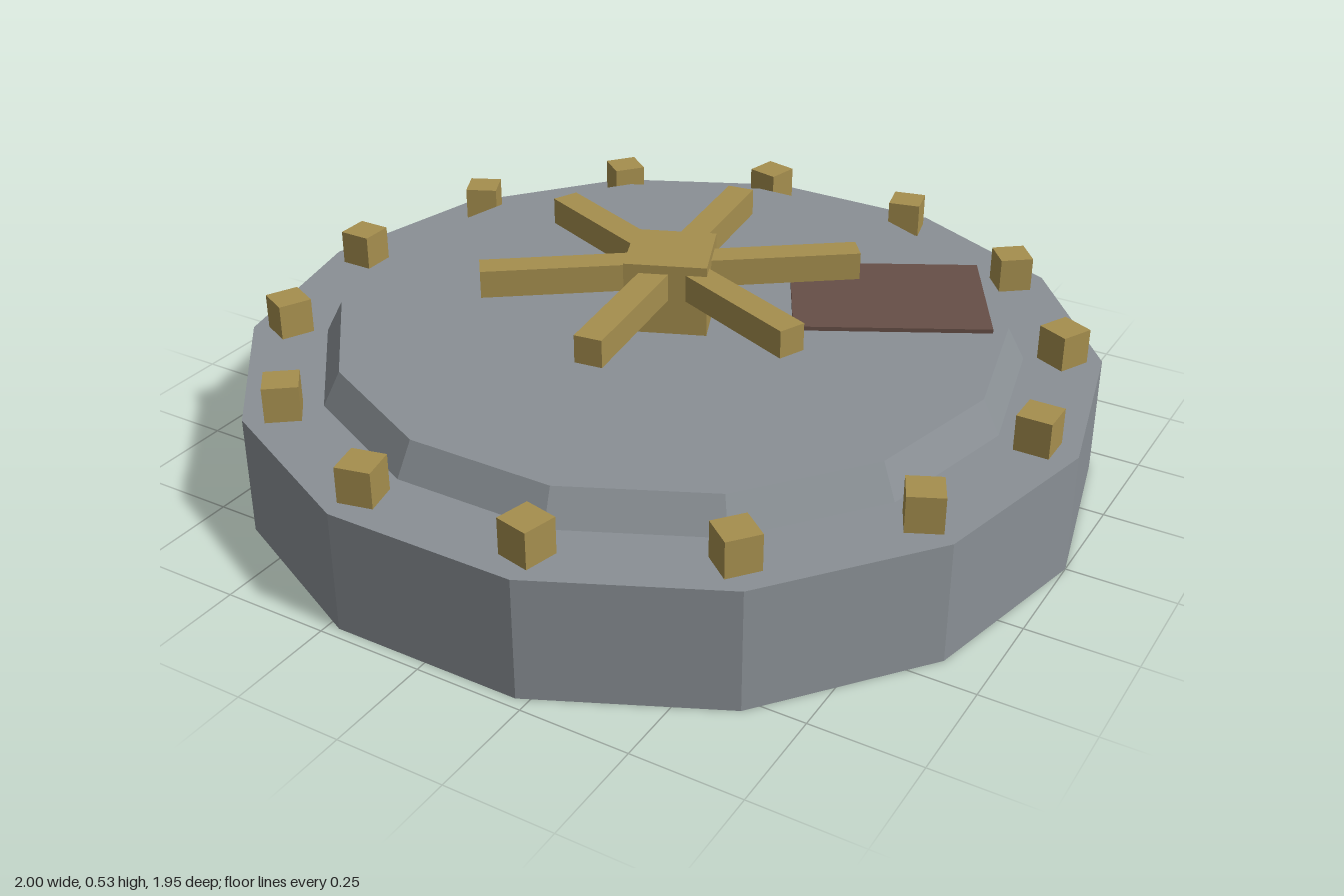
import * as THREE from 'three';

const SIDES = 14;

export function createModel() {
  const group = new THREE.Group();
  group.name = 'hatch';

  const steel = new THREE.MeshStandardMaterial({ color: 0x8a9095, flatShading: true, side: THREE.DoubleSide });
  steel.name = 'grey steel';
  const brass = new THREE.MeshStandardMaterial({ color: 0xa58e4e, flatShading: true });
  brass.name = 'brass';
  const rust = new THREE.MeshStandardMaterial({ color: 0x674f47, flatShading: true });
  rust.name = 'rust brown';

  // Box given by size, bottom height, ground position and turn about y
  function addBox(parent, name, material, [w, h, d], bottom, x, z, turn) {
    const mesh = new THREE.Mesh(new THREE.BoxGeometry(w, h, d), material);
    mesh.name = name;
    mesh.position.set(x, bottom + h / 2, z);
    mesh.rotation.y = turn;
    parent.add(mesh);
  }

  // Open-bottomed shell: wall, rim, bevel and raised lid
  const profile = [[1, 0], [1, 0.284], [0.82, 0.284], [0.78, 0.362], [0, 0.362]]
    .map(([r, y]) => new THREE.Vector2(r, y));
  const shell = new THREE.Mesh(new THREE.LatheGeometry(profile, SIDES, Math.PI / 2), steel);
  shell.name = 'hatchShell';
  group.add(shell);

  // Square bolts around the rim, sunk slightly through it
  const bolts = new THREE.Group();
  bolts.name = 'rimBolts';
  group.add(bolts);
  for (let i = 0; i < SIDES; i++) {
    const a = (i / SIDES) * Math.PI * 2;
    addBox(bolts, 'bolt', brass, [0.08, 0.095, 0.08], 0.273,
      0.908 * Math.cos(a), 0.908 * Math.sin(a), a);
  }

  // Wheel handle: hub with three crossing bars
  const handle = new THREE.Group();
  handle.name = 'wheelHandle';
  group.add(handle);
  addBox(handle, 'hub', brass, [0.19, 0.19, 0.19], 0.342, 0, 0, 0.4);
  for (let i = 0; i < 3; i++) {
    addBox(handle, 'spoke', brass, [0.873, 0.065, 0.065], 0.446, 0, 0, -0.4 + (i * Math.PI) / 3);
  }

  // Patch plate lying on the lid
  addBox(group, 'patchPlate', rust, [0.457, 0.02, 0.342], 0.352, 0.4, -0.334, 0.5);

  return group;
}
